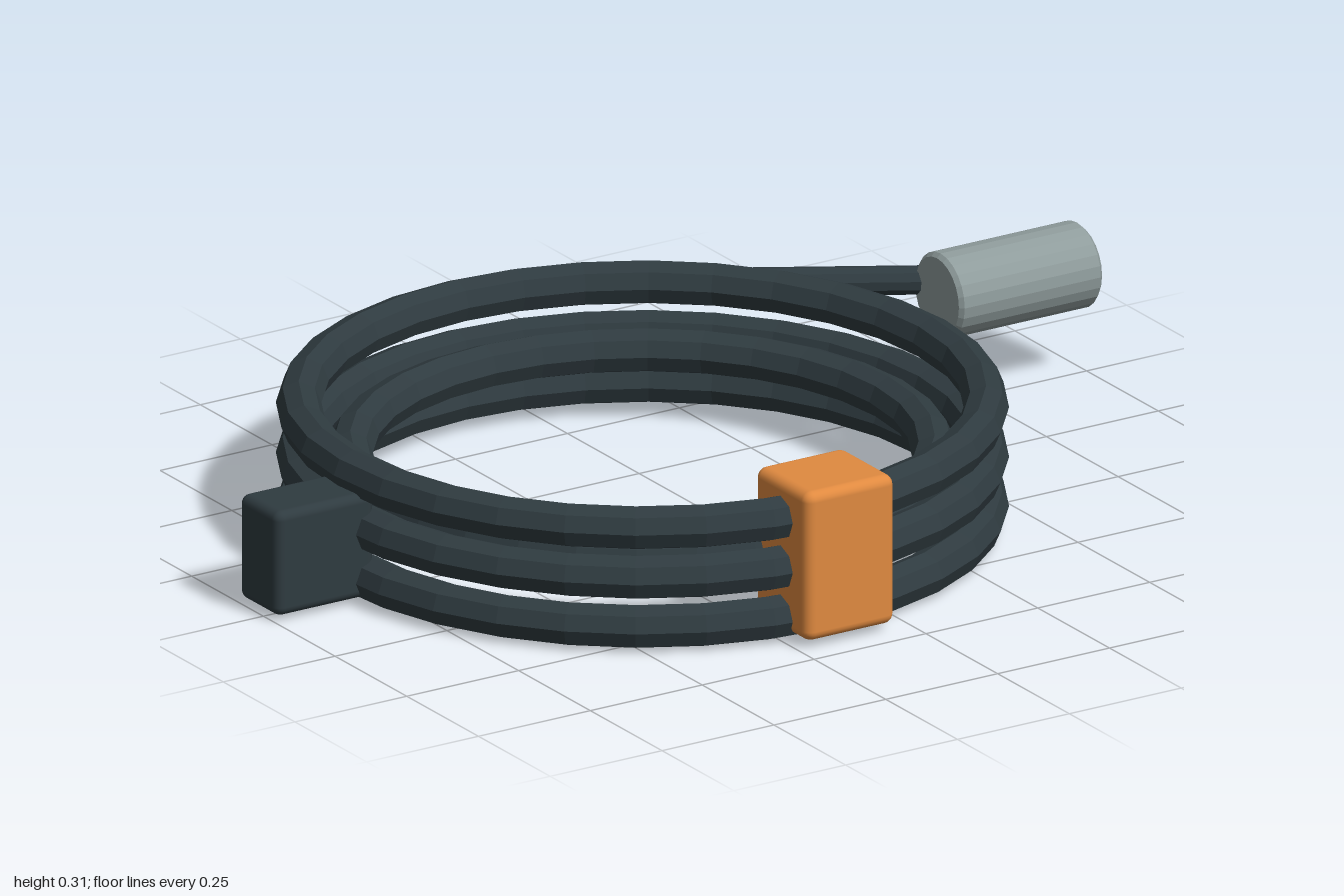
import * as THREE from 'three';
import { RoundedBoxGeometry } from 'three/addons/geometries/RoundedBoxGeometry.js';

const DARK = 0x2f3b40, ORANGE = 0xe08a40, METAL = 0x8f9c9c;
const CX = -0.14, CZ = -0.02; // centre of the coil

export function createModel() {
  const group = new THREE.Group();

  const add = (name, geometry, color, x, y, z, flatShading = false) => {
    const material = new THREE.MeshStandardMaterial({ color, flatShading });
    const mesh = new THREE.Mesh(geometry, material);
    mesh.name = name;
    mesh.position.set(x, y, z);
    group.add(mesh);
    return mesh;
  };

  // Coiled cable: three stacked outer loops and one inner loop
  const loop = (name, radius, y) => {
    const torus = new THREE.TorusGeometry(radius, 0.043, 8, 32).rotateX(Math.PI / 2);
    add(name, torus, DARK, CX, y, CZ, true);
  };
  [0.043, 0.142, 0.242].forEach((y, i) => loop(`cableLoop${i + 1}`, 0.647, y));
  loop('innerCableLoop', 0.55, 0.142);

  // Strap holding the loops together at the front
  add('strap', new RoundedBoxGeometry(0.2, 0.3, 0.185, 3, 0.02), ORANGE, CX, 0.165, 0.617);

  // Block plug on the right side
  add('plugBlock', new RoundedBoxGeometry(0.22, 0.21, 0.135, 3, 0.018), DARK, -0.89, 0.115, CZ);

  // Loose cable end, running from the top loop to the connector
  const start = new THREE.Vector3(0.382, 0.23, -0.488);
  const end = new THREE.Vector3(0.74, 0.212, -0.33);
  const dir = end.clone().sub(start);
  const tail = add('cableTail', new THREE.CylinderGeometry(0.028, 0.028, dir.length(), 10), DARK, 0, 0, 0, true);
  tail.position.copy(start).add(end).multiplyScalar(0.5);
  tail.quaternion.setFromUnitVectors(new THREE.Vector3(0, 1, 0), dir.normalize());

  // Barrel connector with a small bevel at both rims
  const R = 0.084, H = 0.16, B = 0.008;
  const profile = [[0, -H], [R - B, -H], [R, -H + B], [R, H - B], [R - B, H], [0, H]]
    .map(([r, y]) => new THREE.Vector2(r, y));
  const barrel = new THREE.LatheGeometry(profile, 24).rotateZ(-Math.PI / 2);
  add('connector', barrel, METAL, 0.84, 0.21, -0.272, true);

  return group;
}
